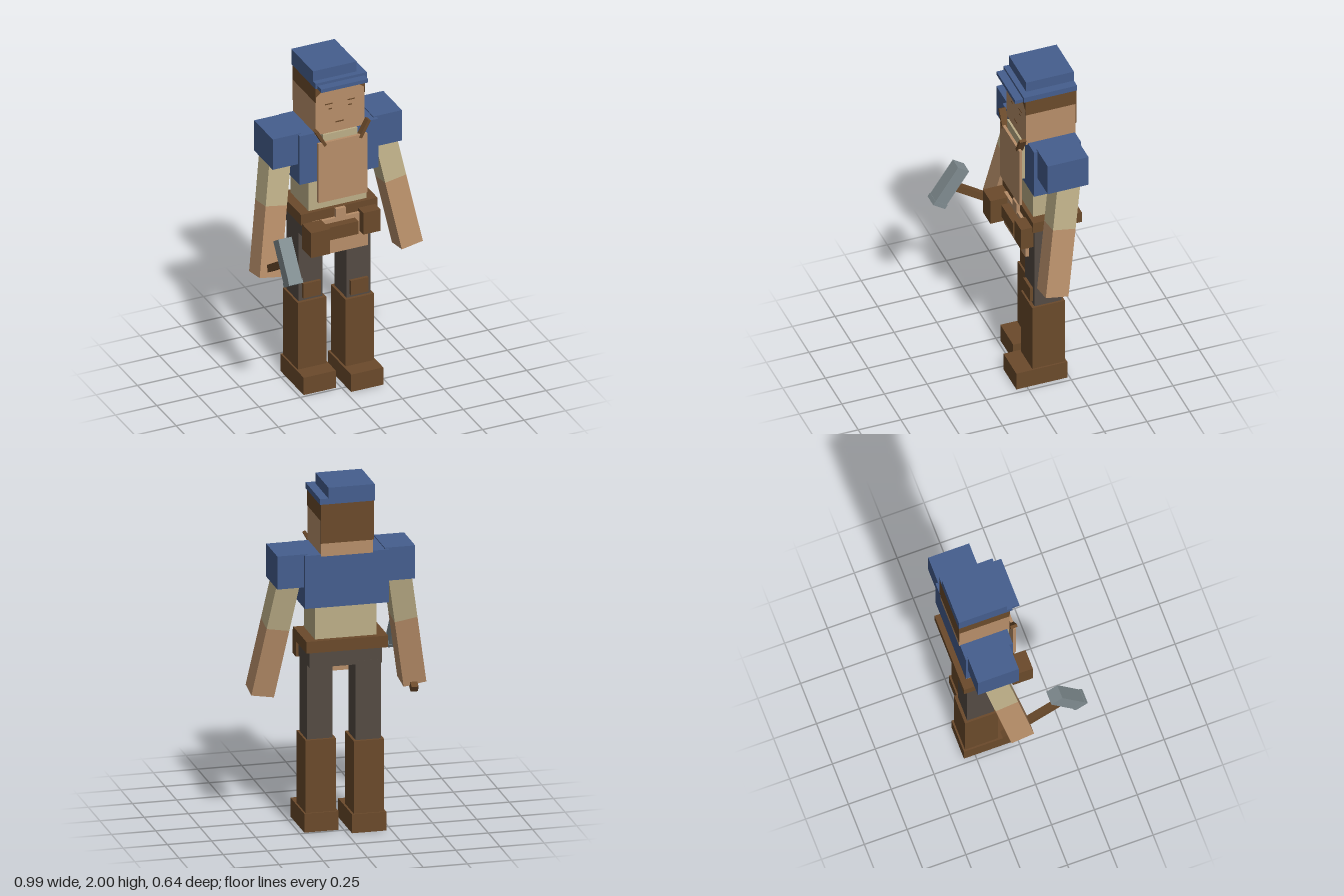
import * as THREE from 'three';

export function createModel() {
  const model = new THREE.Group();
  model.name = 'craftsman';
  const mat = (name, color) => {
    const m = new THREE.MeshStandardMaterial({ color });
    m.name = name;
    return m;
  };
  const blue = mat('blue cloth', 0x455e8e);
  const brown = mat('brown leather', 0x6b4a2b);
  const skin = mat('skin and tan leather', 0xb78e69);
  const beige = mat('beige shirt', 0xbcae87);
  const grey = mat('grey trousers', 0x544b43);
  const steel = mat('steel', 0x808c90);

  // Box given by its limits on each axis
  const box = (name, m, [x0, x1], [y0, y1], [z0, z1], parent = model) => {
    const mesh = new THREE.Mesh(new THREE.BoxGeometry(x1 - x0, y1 - y0, z1 - z0), m);
    mesh.position.set((x0 + x1) / 2, (y0 + y1) / 2, (z0 + z1) / 2);
    mesh.name = name;
    parent.add(mesh);
    return mesh;
  };
  // Limits on x for the left (+1) or right (-1) side
  const side = (s, a, b) => (s > 0 ? [a, b] : [-b, -a]);

  // Cap
  box('capCrown', blue, [-0.155, 0.107], [1.935, 2.0], [-0.32, -0.04]);
  box('capBand', blue, [-0.155, 0.155], [1.905, 1.938], [-0.32, -0.008]);
  box('capVisor', blue, [-0.142, 0.142], [1.9, 1.922], [-0.04, 0.038]);

  // Head, hair and face
  box('head', skin, [-0.147, 0.147], [1.605, 1.907], [-0.315, -0.022]);
  box('hairBack', brown, [-0.15, 0.15], [1.68, 1.906], [-0.318, -0.314]);
  const fringe = new THREE.Shape([[-0.15, 1.906], [-0.15, 1.84], [-0.115, 1.868], [0.115, 1.868], [0.15, 1.84], [0.15, 1.906]]
    .map(([x, y]) => new THREE.Vector2(x, y)));
  const hairFront = new THREE.Mesh(new THREE.ExtrudeGeometry(fringe, { depth: 0.004, bevelEnabled: false }), brown);
  hairFront.position.z = -0.023;
  hairFront.name = 'hairFront';
  model.add(hairFront);
  for (const s of [1, -1]) {
    box('hairSide', brown, side(s, 0.146, 0.15), [1.81, 1.906], [-0.316, -0.021]);
    box('eyebrow', brown, side(s, 0.045, 0.09), [1.782, 1.788], [-0.023, -0.02]);
    box('eye', brown, side(s, 0.048, 0.07), [1.75, 1.757], [-0.023, -0.02]);
  }
  box('mouth', brown, [-0.028, 0.022], [1.66, 1.667], [-0.023, -0.02]);

  // Torso and apron bib
  box('vest', blue, [-0.238, 0.238], [1.31, 1.614], [-0.31, -0.035]);
  box('shirt', beige, [-0.175, 0.175], [1.08, 1.35], [-0.285, -0.055]);
  box('shirtFront', beige, [-0.108, 0.1], [1.34, 1.605], [-0.04, -0.01]);
  box('apronBib', skin, [-0.148, 0.148], [1.2, 1.57], [0, 0.016]);

  // Belt, hips and apron flap
  box('belt', brown, [-0.231, 0.231], [1.055, 1.122], [-0.318, -0.033]);
  box('hips', grey, [-0.205, 0.205], [0.96, 1.06], [-0.287, -0.05]);
  box('apronFlap', skin, [-0.165, 0.165], [0.85, 1.065], [-0.033, -0.015]);
  box('apronLoop', skin, [-0.028, 0.03], [1.05, 1.12], [-0.04, -0.012]);
  box('rightPouch', brown, [-0.225, -0.11], [0.91, 1.065], [-0.03, 0.086]);
  box('middlePouch', brown, [-0.09, 0.086], [0.96, 1.04], [-0.03, 0.03]);
  box('leftPouch', brown, [0.115, 0.218], [0.95, 1.085], [-0.04, 0.033]);

  for (const s of [1, -1]) {
    // Bib strap ends leaning outward
    const strap = box('bibStrap', brown, [-0.009, 0.009], [-0.056, 0.056], [-0.019, 0.019]);
    strap.position.set(s * 0.132, 1.6, 0);
    strap.rotation.z = -s * 0.5;

    // Legs, the right one set further back
    const leg = new THREE.Group();
    leg.name = s > 0 ? 'leftLeg' : 'rightLeg';
    leg.position.z = s > 0 ? 0 : -0.078;
    model.add(leg);
    box('thigh', grey, side(s, 0.055, 0.2), [0.5, 0.98], [-0.21, -0.053], leg);
    box('kneePad', brown, side(s, 0.072, 0.178), [0.545, 0.635], [-0.06, -0.036], leg);
    box('bootShaft', brown, side(s, 0.04, 0.212), [0.08, 0.525], [-0.227, -0.035], leg);
    box('bootFoot', brown, side(s, 0.028, 0.222), [0, 0.108], [-0.237, 0.062], leg);

    // Arms swing outward and forward from the shoulder caps
    box('shoulder', blue, side(s, 0.218, 0.39), [1.43, 1.62], [-0.296, -0.057]);
    const arm = new THREE.Group();
    arm.name = s > 0 ? 'leftArm' : 'rightArm';
    arm.position.set(s * 0.43, 0.78, -0.071);
    const up = new THREE.Vector3(-s * 0.172, 1, -0.172).normalize();
    arm.quaternion.setFromUnitVectors(new THREE.Vector3(0, 1, 0), up);
    model.add(arm);
    box('forearm', skin, [-0.065, 0.065], [0, 0.41], [-0.067, 0.067], arm);
    box('sleeve', beige, [-0.065, 0.065], [0.41, 0.74], [-0.067, 0.067], arm);
  }

  // Hammer: handle along local z, head along local y
  const hammer = new THREE.Group();
  hammer.name = 'hammer';
  hammer.position.set(-0.423, 0.995, 0.21);
  hammer.rotation.x = -0.59;
  model.add(hammer);
  box('hammerHandle', brown, [-0.02, 0.02], [-0.02, 0.02], [-0.445, 0.02], hammer);
  box('hammerHead', steel, [-0.04, 0.04], [-0.11, 0.13], [-0.039, 0.039], hammer);
  box('hammerFace', steel, [-0.043, 0.043], [-0.13, -0.105], [-0.042, 0.042], hammer);
  return model;
}
